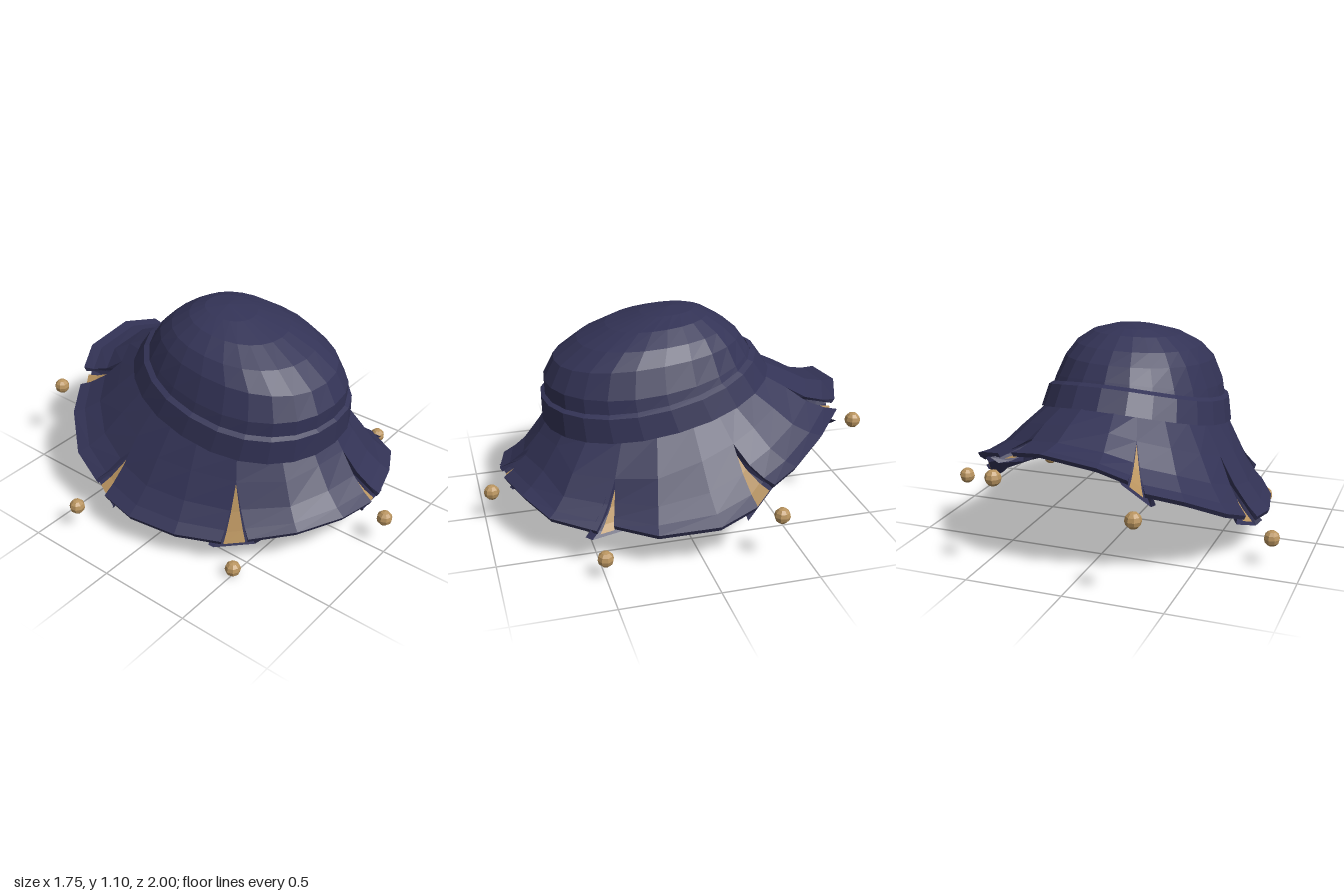
import * as THREE from 'three';

const V = (x, y, z) => new THREE.Vector3(x, y, z);
const mix = (a, b, t) => a.clone().lerp(b, t);

// Flat-shaded sheet through rows of points
function loft(rows, closed = false) {
  const pos = [];
  const tri = (...ps) => ps.forEach(p => pos.push(p.x, p.y, p.z));
  for (let i = 0; i < rows.length - 1; i++) {
    const a = rows[i], b = rows[i + 1], n = a.length;
    for (let j = 0; j < (closed ? n : n - 1); j++) {
      const k = (j + 1) % n;
      tri(a[j], a[k], b[k]);
      tri(a[j], b[k], b[j]);
    }
  }
  const g = new THREE.BufferGeometry();
  g.setAttribute('position', new THREE.Float32BufferAttribute(pos, 3));
  g.computeVertexNormals();
  return g;
}

// Point on a tilted oval: half width, front z/y, back z/y, drop at the sides
function oval([rx, fz, fy, bz, by, dip = 0], a, power = 0.92) {
  const p = v => Math.sign(v) * Math.abs(v) ** power;
  const s = p(Math.sin(a)), k = (1 + p(Math.cos(a))) / 2;
  const x = rx * s + 0.004;
  return V(x, by + (fy - by) * k - dip * s * s + 0.025 * x, bz + (fz - bz) * k);
}
const ring = (spec, n = 24) =>
  Array.from({ length: n }, (_, i) => oval(spec, (i / n) * Math.PI * 2));

const CROWN = [
  [0.445, 0.645, 0.62, -0.45, 0.84, 0.04],
  [0.425, 0.65, 0.755, -0.425, 0.88, 0.04],
  [0.375, 0.595, 0.86, -0.375, 0.95],
  [0.32, 0.47, 0.95, -0.305, 1.01],
  [0.228, 0.32, 1.02, -0.21, 1.067],
  [0.12, 0.14, 1.072, -0.14, 1.09],
  [0, -0.02, 1.097, -0.02, 1.097],
];
const BAND = [
  [0.485, 0.665, 0.535, -0.535, 0.76, 0.055],
  [0.462, 0.668, 0.665, -0.465, 0.86, 0.055],
  [0.435, 0.64, 0.68, -0.435, 0.87, 0.05],
];
const SEAT = [0.475, 0.655, 0.54, -0.525, 0.765, 0.055];
const LINER = [0.385, 0.56, 0.485, -0.385, 0.675, 0.05];

// Rim points of the seven brim panels, front centre round by the left side
const PANELS = [
  [[0.09, 0.27, 0.895], [0.3, 0.265, 0.83], [0.5, 0.23, 0.725], [0.635, 0.205, 0.52]],
  [[0.61, 0.205, 0.43], [0.75, 0.2, 0.24], [0.8, 0.23, -0.06], [0.775, 0.3, -0.25]],
  [[0.74, 0.39, -0.345], [0.7, 0.45, -0.47], [0.56, 0.53, -0.66], [0.4, 0.59, -0.81]],
  [[0.32, 0.61, -0.83], [0.14, 0.645, -0.9], [-0.14, 0.61, -0.9], [-0.27, 0.545, -0.84]],
  [[-0.34, 0.48, -0.805], [-0.5, 0.42, -0.7], [-0.655, 0.315, -0.52], [-0.705, 0.245, -0.345]],
  [[-0.74, 0.21, -0.25], [-0.76, 0.18, -0.06], [-0.71, 0.165, 0.2], [-0.61, 0.165, 0.42]],
  [[-0.545, 0.2, 0.54], [-0.39, 0.24, 0.725], [-0.19, 0.275, 0.86], [0, 0.28, 0.905]],
].map(panel => panel.map(p => V(...p)));

// Share of the brim left whole at the slit before each panel
const UNCUT = [0.16, 0.4, 0.32, 0.32, 0.32, 0.32, 0.27];

const POMPOMS = [
  [0.05, 0.17, 0.96], [0.74, 0.11, 0.5], [0.835, 0.27, -0.355], [0.375, 0.505, -0.915],
  [-0.34, 0.41, -0.96], [-0.84, 0.15, -0.355], [-0.615, 0.04, 0.5],
];

// Point of an inner oval in the direction of a rim point
function inward(p, spec) {
  const cz = (SEAT[1] + SEAT[3]) / 2, rz = (SEAT[1] - SEAT[3]) / 2;
  return oval(spec, Math.atan2(p.x / SEAT[0], (p.z - cz) / rz), 1);
}
const sink = (p, d, inset = 1) => V(p.x * inset, p.y - d, p.z * inset);

// Points from the band to the rim; "closed" is the uncut direction
function rib(rim, closed, uncut) {
  const start = inward(closed, SEAT), cut = mix(start, closed, uncut);
  const pts = [start, sink(cut, 0.018)];
  for (const t of [0.4, 0.75, 1]) {
    pts.push(sink(mix(cut, rim, t), 0.03 * Math.sin(Math.PI * t) + 0.018 * (1 - t)));
  }
  return pts;
}

export function createModel() {
  const hat = new THREE.Group();
  hat.name = 'hat';
  const navy = new THREE.MeshStandardMaterial({ color: 0x333356, side: THREE.DoubleSide });
  navy.name = 'navy cloth';
  const gold = new THREE.MeshStandardMaterial({ color: 0xb9945f, side: THREE.DoubleSide });
  gold.name = 'gold cloth';
  const add = (name, geometry, material) => {
    const m = new THREE.Mesh(geometry, material);
    m.name = name;
    hat.add(m);
    return m;
  };

  add('crown', loft(CROWN.map(s => ring(s)), true), navy);
  add('band', loft(BAND.map(s => ring(s)), true), navy);
  add('innerBand', loft([ring(CROWN[0]), ring(LINER)], true), navy);

  const n = PANELS.length;
  // Middle of the slit before each panel
  const slits = PANELS.map((p, i) => mix(PANELS[(i + n - 1) % n][3], p[0], 0.5));

  PANELS.forEach((panel, i) => {
    // Brim panel: underside, rim edge and top in one skin, then the cut edges
    const next = (i + 1) % n;
    const dirs = [slits[i], panel[1], panel[2], slits[next]];
    const ribs = panel.map((p, j) => rib(p, dirs[j], UNCUT[j < 2 ? i : next]));
    const bases = ribs.map((c, j) => {
      const inner = inward(dirs[j], LINER), rim = sink(c[4], 0.024, 0.985);
      return c.map((_, r) => mix(inner, rim, r / 4));
    });
    const tops = ribs[0].map((_, r) => ribs.map(c => c[r]));
    const unders = bases[0].map((_, r) => bases.map(c => c[r]));
    add('brimPanel', loft([...unders, ...tops.reverse()]), navy);
    add('panelEdge', loft([ribs[0], bases[0]]), navy);
    add('panelEdge', loft([bases[3], ribs[3]]), navy);

    // Gold gusset showing through the slit
    const before = PANELS[(i + n - 1) % n][3], after = panel[0];
    const left = rib(before, slits[i], UNCUT[i]);
    const right = rib(after, slits[i], UNCUT[i]);
    const gusset = left.map((p, r) => [0.08, 0.92].map(t =>
      sink(mix(p, right[r], t), 0.018 + 0.004 * r, 0.97)));
    add('gusset', loft(gusset.reverse()), gold);

    // Folded pleat behind the gusset, its edges tucked into the panels
    const side = after.clone().sub(before).normalize();
    const pleat = left.map((p, r) => {
      const w = 0.015 + 0.013 * r, d = 0.08 - 0.006 * r;
      const off = (q, s, drop, inset) => sink(q, drop, inset).addScaledVector(side, s);
      return [off(p, -w, 0.02, 0.985), off(p, -w * 0.6, d, 0.96),
        off(right[r], w * 0.6, d, 0.96), off(right[r], w, 0.02, 0.985)];
    });
    add('pleat', loft(pleat.reverse()), navy);
  });

  // Hanging pompoms
  const ball = new THREE.SphereGeometry(0.041, 8, 6).toNonIndexed();
  ball.computeVertexNormals();
  POMPOMS.forEach(([x, y, z], i) => {
    const m = add('pompom', ball, gold);
    m.position.set(x, y, z);
    m.rotation.y = (i / n) * Math.PI * 2;
  });
  return hat;
}
